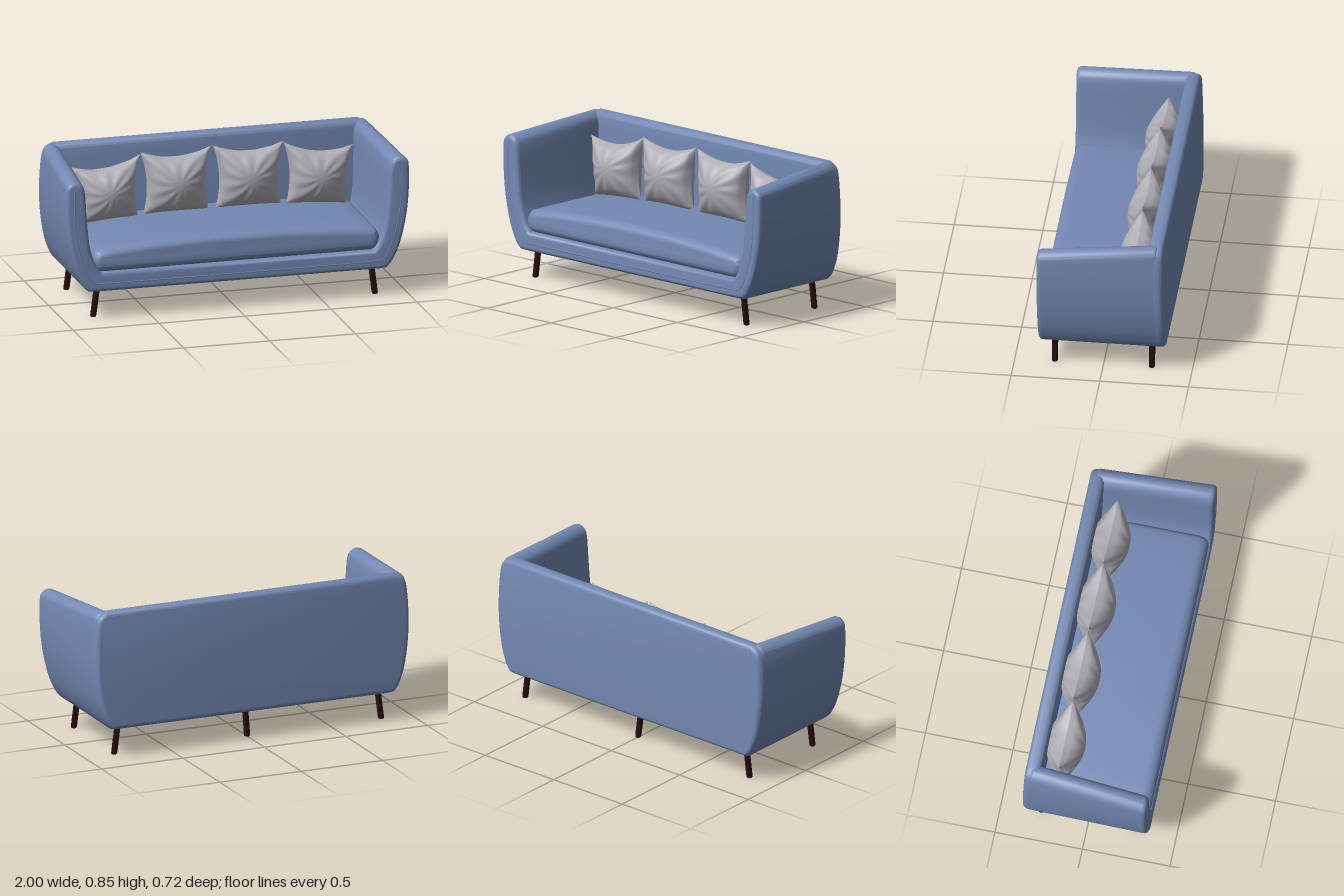
import * as THREE from 'three';
import { toCreasedNormals, mergeGeometries } from 'three/addons/utils/BufferGeometryUtils.js';

const fabric = new THREE.MeshStandardMaterial({ color: 0x7489b3 });
fabric.name = 'blue fabric';
const linen = new THREE.MeshStandardMaterial({ color: 0xb0afb6 });
linen.name = 'grey linen';
const wood = new THREE.MeshStandardMaterial({ color: 0x2a0c0c });
wood.name = 'dark wood';

const vec = ([x, y]) => new THREE.Vector2(x, y);
const smooth = (pts, n) => new THREE.SplineCurve(pts.map(vec)).getPoints(n);
// Right half of an outline plus its mirror image, in one closed loop
const mirrored = (half) => new THREE.Shape(
  [...half, ...half.map((p) => new THREE.Vector2(-p.x, p.y)).reverse()]);

function addMesh(group, name, geometry, material) {
  const mesh = new THREE.Mesh(geometry, material);
  mesh.name = name;
  group.add(mesh);
  return mesh;
}

function warp(geometry, rule) {
  const pos = geometry.attributes.position;
  const p = new THREE.Vector3();
  for (let i = 0; i < pos.count; i++) {
    rule(p.fromBufferAttribute(pos, i));
    pos.setXYZ(i, p.x, p.y, p.z);
  }
  return geometry;
}

// Towards the rear the shell gets narrower and taller, and its back leans a little
function shellRule(p) {
  const h = THREE.MathUtils.clamp((p.y - 0.17) / 0.64, 0, 1);
  const t = (0.36 - p.z) / 0.72;
  p.x *= 1 - 0.055 * t * h;
  p.y += 0.045 * t * h;
  p.z += 0.015 * h * Math.max(0, -p.z / 0.36);
}

// Outline pushed along z from z0 to z1, with rounded ends inside that span
function padded(shape, z0, z1, thick, size, rule) {
  const geometry = new THREE.ExtrudeGeometry(shape, {
    depth: z1 - z0 - 2 * thick, bevelThickness: thick, bevelSize: size,
    bevelOffset: -size, bevelSegments: 6, steps: 1,
  });
  geometry.translate(0, 0, z0 + thick);
  return toCreasedNormals(warp(geometry, rule), 0.7);
}

// Cushion of four corners with pinched edges and soft folds
function pillowGeometry(corners) {
  const [tl, tr, br, bl] = corners.map(vec);
  const half = (side) => {
    const plane = new THREE.PlaneGeometry(2, 2, 28, 28);
    if (side < 0) plane.rotateY(Math.PI);
    warp(plane, (p) => {
      const u = p.x, v = p.y;
      const top = tl.clone().lerp(tr, (u + 1) / 2);
      const low = bl.clone().lerp(br, (u + 1) / 2);
      const q = low.lerp(top, (v + 1) / 2);
      const bulge = (1 - u * u) * (1 - v * v);
      const r = Math.hypot(u, v);
      const fold = 0.006 * Math.sin(11 * Math.atan2(v, u) + 2 * r) * r * Math.sqrt(bulge);
      p.x = q.x - 0.028 * u * (1 - v * v);
      p.y = q.y - (v > 0 ? 0.045 : 0.006) * v * (1 - u * u);
      p.z = -0.172 + side * (0.108 * Math.pow(bulge, 0.55) + fold);
    });
    plane.computeVertexNormals();
    return plane;
  };
  return mergeGeometries([half(1), half(-1)]);
}

export function createModel() {
  const model = new THREE.Group();
  model.name = 'sofa';

  // Arms and base rail in one U-shaped frame
  const side = [[0.865, 0.168], [0.9, 0.205], [0.945, 0.3], [0.982, 0.45], [0.999, 0.6]];
  const frameHalf = [vec([0.83, 0.165]), ...smooth([...side,
    [1.0, 0.75], [0.988, 0.792], [0.95, 0.812], [0.91, 0.797], [0.888, 0.75],
    [0.876, 0.6], [0.858, 0.43], [0.825, 0.325], [0.79, 0.275]], 56)];
  addMesh(model, 'armsAndBase',
    padded(mirrored(frameHalf), -0.33, 0.36, 0.025, 0.022, shellRule), fabric);

  // Backrest panel with the same outer curve
  const backHalf = [vec([0.83, 0.165]),
    ...smooth([...side, [1.0, 0.735], [0.983, 0.787], [0.935, 0.812]], 32)];
  addMesh(model, 'backrest',
    padded(mirrored(backHalf), -0.36, -0.272, 0.035, 0.025, shellRule), fabric);

  // Crowned seat cushion
  const seatHalf = smooth([[0.78, 0.268], [0.815, 0.285], [0.836, 0.33], [0.825, 0.375],
    [0.785, 0.402], [0.6, 0.422], [0.3, 0.438], [0.02, 0.443]], 36);
  addMesh(model, 'seatCushion',
    padded(mirrored(seatHalf), -0.3, 0.35, 0.06, 0.045, () => {}), fabric);

  // Seam piping round the front of the frame
  const seamHalf = smooth([[0.8, 0.215], [0.855, 0.232], [0.9, 0.33], [0.935, 0.46],
    [0.95, 0.6], [0.95, 0.77]], 20);
  const seam = [...seamHalf.map((p) => [-p.x, p.y]).reverse(), ...seamHalf.map((p) => [p.x, p.y])];
  const seamPath = new THREE.CatmullRomCurve3(
    seam.map(([x, y]) => new THREE.Vector3(x, y, 0.358)), false, 'centripetal');
  addMesh(model, 'frontPiping', new THREE.TubeGeometry(seamPath, 120, 0.004, 6), fabric);

  // Mirrored pairs of scatter pillows: top left, top right, bottom right, bottom left
  const pillows = [
    [[0.415, 0.79], [0.82, 0.745], [0.785, 0.405], [0.43, 0.43]],
    [[0.005, 0.805], [0.418, 0.8], [0.4, 0.435], [0.02, 0.435]],
  ];
  for (const c of pillows) {
    addMesh(model, 'pillowLeft', pillowGeometry(c), linen);
    const flipped = [c[1], c[0], c[3], c[2]].map(([x, y]) => [-x, y]);
    addMesh(model, 'pillowRight', pillowGeometry(flipped), linen);
  }

  // Round splayed legs: foot and top as x, z
  const leg = (name, foot, top) => {
    const profile = [[0, 0], [0.011, 0], [0.016, 0.004], [0.0175, 0.012], [0.0175, 0.19], [0, 0.19]];
    const geometry = toCreasedNormals(new THREE.LatheGeometry(profile.map(vec), 20), 0.9);
    warp(geometry, (p) => {
      const k = p.y / 0.17;
      p.x += foot[0] + (top[0] - foot[0]) * k;
      p.z += foot[1] + (top[1] - foot[1]) * k;
    });
    addMesh(model, name, geometry, wood);
  };
  for (const s of [-1, 1]) {
    leg('frontLeg', [s * 0.82, 0.275], [s * 0.798, 0.275]);
    leg('backLeg', [s * 0.82, -0.272], [s * 0.798, -0.272]);
  }
  leg('middleBackLeg', [0, -0.266], [0, -0.236]);

  return model;
}
